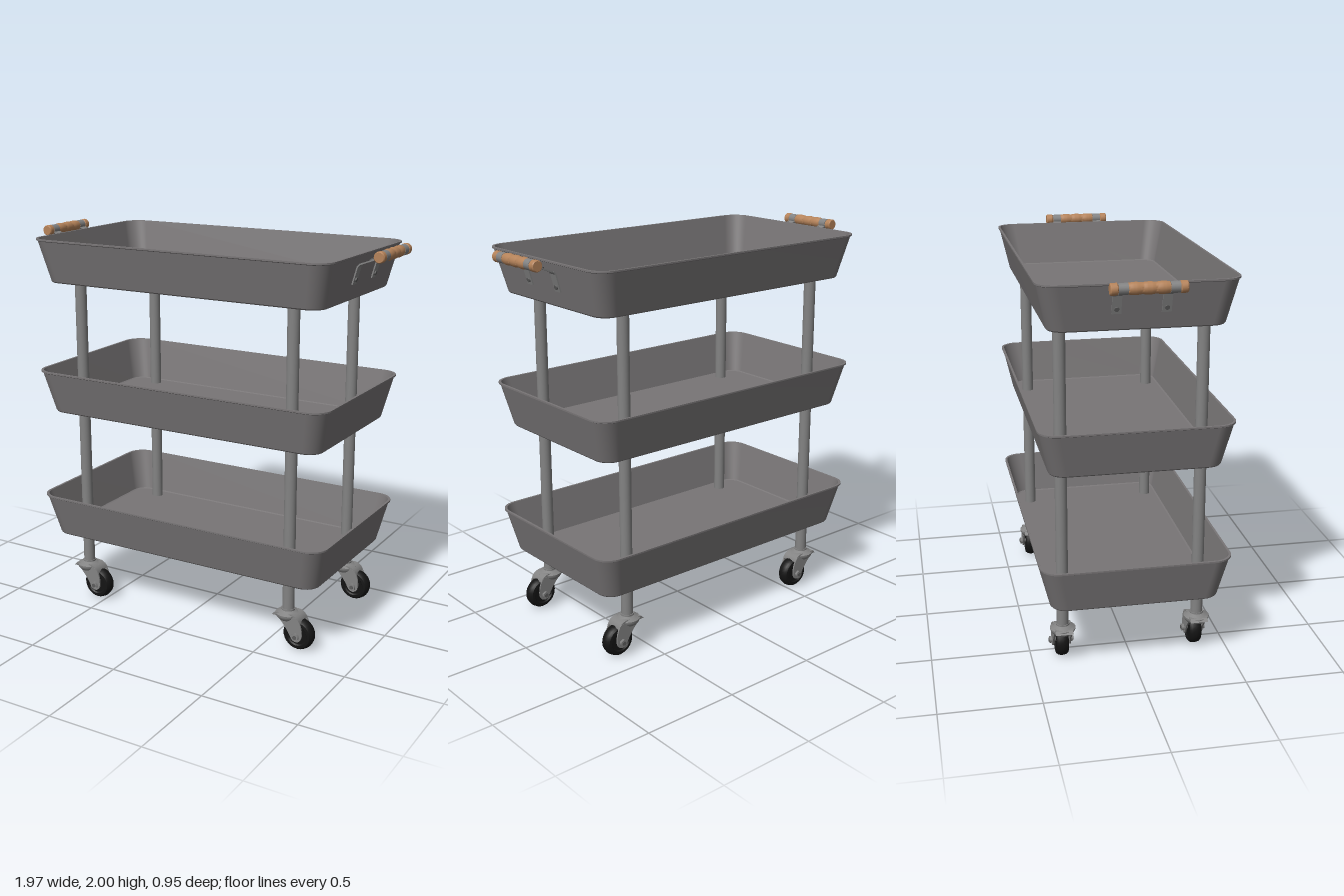
import * as THREE from 'three';
import { mergeGeometries, toCreasedNormals } from 'three/addons/utils/BufferGeometryUtils.js';

const material = (name, color) => Object.assign(new THREE.MeshStandardMaterial({ color }), { name });

// Closed loop of points on a rounded rectangle lying at height y
function roundedLoop([hx, hz, r, y]) {
  const pts = [], steps = 8;
  for (let c = 0; c < 4; c++) {
    const sx = c === 0 || c === 3 ? 1 : -1, sz = c < 2 ? 1 : -1;
    for (let i = 0; i <= steps; i++) {
      const a = (c + i / steps) * Math.PI / 2;
      pts.push(sx * (hx - r) + r * Math.cos(a), y, sz * (hz - r) + r * Math.sin(a));
    }
  }
  return pts;
}

// Band of faces joining two loops
function band(lower, upper) {
  const a = roundedLoop(lower), b = roundedLoop(upper), n = a.length / 3, index = [];
  for (let i = 0; i < n; i++) {
    const j = (i + 1) % n;
    index.push(i, n + i, n + j, i, n + j, j);
  }
  const g = new THREE.BufferGeometry();
  g.setAttribute('position', new THREE.Float32BufferAttribute([...a, ...b], 3));
  g.setIndex(index);
  g.computeVertexNormals();
  return g;
}

// Flared tray with thin walls and a small lip
function trayGeometry() {
  const loops = [
    [0, 0, 0, 0], [0.78, 0.415, 0.075, 0], [0.785, 0.42, 0.08, 0.006],
    [0.833, 0.467, 0.09, 0.215], [0.841, 0.474, 0.095, 0.219], [0.841, 0.474, 0.095, 0.227],
    [0.829, 0.463, 0.088, 0.227], [0.778, 0.413, 0.073, 0.012], [0.77, 0.405, 0.066, 0.008], [0, 0, 0, 0.008],
  ];
  return mergeGeometries(loops.slice(1).map((l, i) => band(loops[i], l)));
}

export function createModel() {
  const tray = material('tray grey', 0x787576);
  const steel = material('steel grey', 0x838383);
  const rubber = material('black rubber', 0x141414);
  const wood = material('wood', 0xb5835a);
  const dark = material('dark bolt', 0x5c5c5c);

  const model = new THREE.Group();
  model.name = 'trolley';
  const add = (parent, name, geo, mat, x = 0, y = 0, z = 0) => {
    const m = new THREE.Mesh(geo, mat);
    m.name = name;
    m.position.set(x, y, z);
    parent.add(m);
    return m;
  };
  const lathe = (pts, seg) => toCreasedNormals(
    new THREE.LatheGeometry(pts.map(p => new THREE.Vector2(...p)), seg), 0.6);

  // Three trays
  const trayGeo = trayGeometry();
  ['lowerTray', 'middleTray', 'upperTray'].forEach((n, i) => add(model, n, trayGeo, tray, 0, 0.36 + i * 0.692, 0));

  // Caster shapes, with the wheel trailing towards +x
  const wheelGeo = lathe([[0, -0.025], [0.05, -0.025], [0.056, -0.032], [0.07, -0.03], [0.079, -0.02], [0.083, 0],
    [0.079, 0.02], [0.07, 0.03], [0.056, 0.032], [0.05, 0.025], [0, 0.025]], 28);
  const plateGeo = lathe([[0, -0.03], [0.05, -0.03], [0.06, -0.018], [0.065, -0.006], [0.065, 0],
    [0.045, 0.01], [0.034, 0.016], [0.034, 0.024], [0, 0.024]], 24);
  const cheek = new THREE.Shape();
  cheek.moveTo(-0.035, 0.185);
  cheek.lineTo(0.07, 0.182);
  cheek.quadraticCurveTo(0.1, 0.15, 0.098, 0.085);
  cheek.absarc(0.066, 0.085, 0.03, 0, -Math.PI * 0.85, true);
  cheek.quadraticCurveTo(0.01, 0.13, -0.035, 0.17);
  const cheekGeo = new THREE.ExtrudeGeometry(cheek, { depth: 0.008, bevelEnabled: false, curveSegments: 8 });
  cheekGeo.translate(0, 0, -0.004);
  const hood = new THREE.Shape();
  hood.moveTo(-0.07, 0.176);
  hood.quadraticCurveTo(0.02, 0.178, 0.085, 0.158);
  hood.quadraticCurveTo(0.075, 0.19, 0.04, 0.196);
  hood.lineTo(-0.055, 0.192);
  const hoodGeo = new THREE.ExtrudeGeometry(hood, { depth: 0.09, bevelEnabled: false });
  hoodGeo.translate(0, 0, -0.045);
  const axleGeo = new THREE.CylinderGeometry(0.011, 0.011, 0.126, 12).rotateX(Math.PI / 2);
  const nutGeo = new THREE.CylinderGeometry(0.02, 0.02, 0.014, 6).rotateX(Math.PI / 2);
  const postGeo = new THREE.CylinderGeometry(0.03, 0.03, 1.55, 24);

  // Posts and casters at the four corners
  for (const x of [-0.615, 0.615]) for (const z of [-0.345, 0.345]) {
    add(model, 'post', postGeo, steel, x, 0.975, z);
    const caster = new THREE.Group();
    caster.name = 'caster';
    caster.position.set(x, 0, z);
    model.add(caster);
    add(caster, 'swivelPlate', plateGeo, steel, 0, 0.187, 0);
    add(caster, 'forkHood', hoodGeo, steel);
    add(caster, 'wheel', wheelGeo, rubber, 0.064, 0.085, 0).rotation.x = Math.PI / 2;
    add(caster, 'axle', axleGeo, dark, 0.066, 0.085, 0);
    for (const s of [-1, 1]) {
      add(caster, 'forkCheek', cheekGeo, steel, 0, 0, s * 0.043);
      add(caster, 'axleNut', nutGeo, steel, 0.066, 0.085, s * 0.053);
    }
  }

  // Handle shapes: a waisted grip held by two bent straps
  const grip = [[0, -0.173], [0.024, -0.173], [0.028, -0.168], [0.028, -0.142], [0.023, -0.138], [0.023, -0.094]];
  for (let i = 0; i <= 24; i++) {
    const t = i / 24;
    grip.push([0.0255 + 0.0035 * Math.abs(Math.sin(t * Math.PI * 3)), -0.092 + t * 0.184]);
  }
  grip.push([0.023, 0.094], [0.023, 0.138], [0.028, 0.142], [0.028, 0.168], [0.024, 0.173], [0, 0.173]);
  const gripGeo = lathe(grip, 16).rotateX(Math.PI / 2);
  const claspGeo = new THREE.CylinderGeometry(0.0265, 0.0265, 0.044, 16).rotateX(Math.PI / 2);
  const rivetGeo = new THREE.CylinderGeometry(0.011, 0.013, 0.01, 12);
  const path = [[0.936, 1.96], [0.885, 1.941], [0.846, 1.926], [0.836, 1.915], [0.812, 1.83]];

  for (const side of [1, -1]) {
    const handle = new THREE.Group();
    handle.name = side > 0 ? 'leftHandle' : 'rightHandle';
    if (side < 0) handle.rotation.y = Math.PI;
    model.add(handle);
    add(handle, 'grip', gripGeo, wood, 0.957, 1.971, 0);
    for (const z of [-0.115, 0.115]) {
      add(handle, 'clasp', claspGeo, steel, 0.957, 1.971, z);
      for (let i = 1; i < path.length; i++) {
        const [x0, y0] = path[i - 1], [x1, y1] = path[i];
        const strap = new THREE.BoxGeometry(Math.hypot(x1 - x0, y1 - y0) + 0.004, 0.007, 0.044);
        add(handle, 'strap', strap, steel, (x0 + x1) / 2, (y0 + y1) / 2, z).rotation.z = Math.atan2(y1 - y0, x1 - x0);
      }
      add(handle, 'strapRivet', rivetGeo, dark, 0.9, 1.951, z).rotation.z = 0.36;
      add(handle, 'wallRivet', rivetGeo, dark, 0.822, 1.85, z).rotation.z = -Math.PI / 2 - 0.27;
    }
  }
  return model;
}
